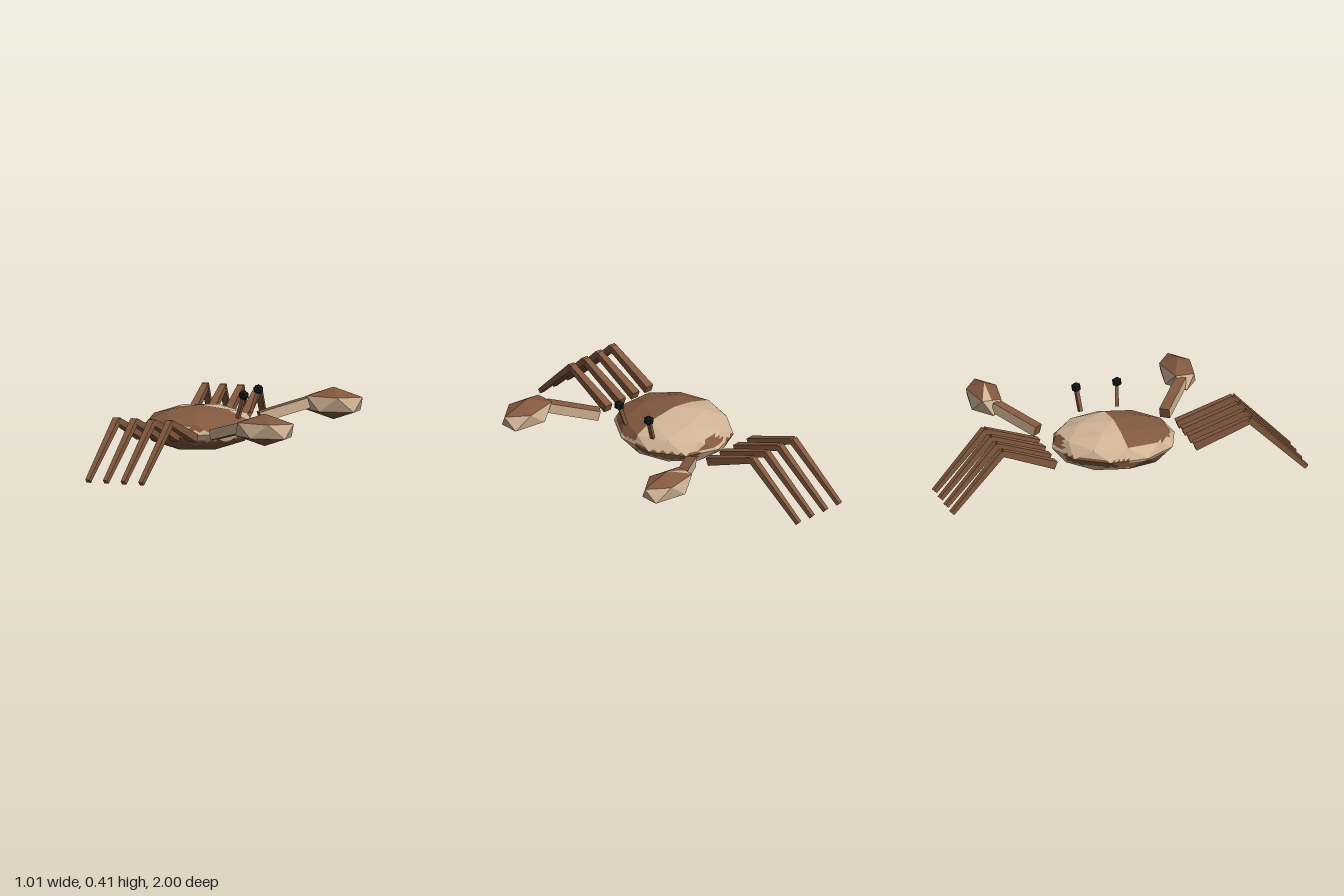
import * as THREE from 'three';

const V = (x, y, z) => new THREE.Vector3(x, y, z);

function material(name, color) {
  const m = new THREE.MeshStandardMaterial({ color });
  m.name = name;
  return m;
}

// Low-poly ball standing on a corner, with one upper-ring corner towards +x
function poleBall(detail) {
  return new THREE.IcosahedronGeometry(1, detail).rotateZ(-Math.atan2(2, 1 + Math.sqrt(5)));
}

// Triangles of a ball as corner triples, halved where they straddle z = 0
function triangles(geometry) {
  const p = geometry.attributes.position, out = [];
  for (let i = 0; i < p.count; i += 3) {
    const t = [0, 1, 2].map(k => new THREE.Vector3().fromBufferAttribute(p, i + k));
    const k = t.findIndex(v => Math.abs(v.z) < 1e-4);
    const a = t[k], b = t[(k + 1) % 3], c = t[(k + 2) % 3];
    if (k >= 0 && b.z * c.z < -1e-6) {
      const m = b.clone().lerp(c, 0.5);
      out.push([a, b, m], [a, m, c]);
    } else out.push(t);
  }
  return out;
}

// Divide flat facets into four, keeping them flat
function divide(list) {
  return list.flatMap(([a, b, c]) => {
    const ab = a.clone().lerp(b, 0.5), bc = b.clone().lerp(c, 0.5), ca = c.clone().lerp(a, 0.5);
    return [[a, ab, ca], [ab, b, bc], [ca, bc, c], [ab, bc, ca]];
  });
}

// Two-tone faceted ball: isLight(centroid) picks the colour of each face
function twoTone(name, list, isLight, dark, light) {
  const group = new THREE.Group();
  group.name = name;
  const sets = [[], []];
  for (const t of list) {
    const c = V(0, 0, 0).add(t[0]).add(t[1]).add(t[2]).divideScalar(3);
    sets[isLight(c) ? 1 : 0].push(...t);
  }
  sets.forEach((points, i) => {
    const g = new THREE.BufferGeometry().setFromPoints(points);
    g.computeVertexNormals();
    const mesh = new THREE.Mesh(g, i ? light : dark);
    mesh.name = name + (i ? 'LightFaces' : 'DarkFaces');
    group.add(mesh);
  });
  return group;
}

// Tapered square beam from a to b
function beam(name, a, b, w0, w1, mat) {
  const dir = b.clone().sub(a), len = dir.length();
  dir.normalize();
  const side = dir.clone().cross(V(0, 1, 0)).normalize();
  const g = new THREE.BoxGeometry(1, len, 1);
  const p = g.attributes.position;
  for (let i = 0; i < p.count; i++) {
    const w = p.getY(i) < 0 ? w0 : w1;
    p.setX(i, p.getX(i) * w);
    p.setZ(i, p.getZ(i) * w);
  }
  g.applyMatrix4(new THREE.Matrix4().makeBasis(side, dir, side.clone().cross(dir)));
  const mid = a.clone().lerp(b, 0.5);
  g.translate(mid.x, mid.y, mid.z);
  g.computeVertexNormals();
  const mesh = new THREE.Mesh(g, mat);
  mesh.name = name;
  return mesh;
}

export function createModel() {
  const model = new THREE.Group();
  model.name = 'crab';
  const brown = material('shellBrown', 0x83593f);
  const tan = material('shellTan', 0xd2b596);
  const black = material('eyeBlack', 0x17181b);

  // Shell: tan on one half, brown on the other, with swapped patches at the rim
  const shellIsTan = ({ x, y, z }) => {
    if (z > 0) {
      if (x < -0.65) return y > -0.1 && y < 0.48;
      if (x < 0.15) return y > -0.05 && y < 0.33;
      return y > -0.3 && y < 0.15;
    }
    const spot = z < -0.82 && y > 0.1 && y < 0.5 && Math.abs(x) < 0.2 * (0.6 - y) / 0.3;
    const rim = Math.abs(x) > 0.35 && y > -0.3 && y < 0.08;
    return !spot && !rim;
  };
  const shell = twoTone('shell', divide(divide(triangles(poleBall(1)))), shellIsTan, brown, tan);
  shell.scale.set(0.3, 0.12, 0.342);
  shell.position.set(-0.224, 0.182, 0);
  model.add(shell);

  for (const s of [1, -1]) {
    const sideName = s > 0 ? 'Near' : 'Far';

    // Four jointed legs
    for (let i = 0; i < 4; i++) {
      const x = -0.44 + i * 0.1;
      const leg = new THREE.Group();
      leg.name = 'leg' + sideName + (i + 1);
      leg.add(
        beam('upperLeg', V(x + 0.025, 0.178, s * 0.39), V(x, 0.298, s * 0.695), 0.045, 0.034, brown),
        beam('lowerLeg', V(x, 0.302, s * 0.69), V(x - 0.055, 0.009, s * 0.991), 0.036, 0.025, brown));
      model.add(leg);
    }

    // Arm with pale sides
    model.add(beam('arm' + sideName, V(-0.012, 0.198, s * 0.355), V(0.21, 0.268, s * 0.52),
      0.056, 0.056, [tan, tan, brown, brown, brown, brown]));

    // Claw: pale band between brown caps
    const claw = twoTone('claw' + sideName, triangles(poleBall(0)),
      c => Math.abs(c.y) < 0.5 || (c.y > 0 && c.x < -0.3 && c.z * s > 0.1 && s < 0), brown, tan);
    claw.scale.set(0.185, 0.087, 0.1);
    claw.position.set(0.34, 0.265, s * 0.54);
    model.add(claw);

    // Eye on a stalk
    model.add(beam('eyeStalk' + sideName, V(0.03, 0.255, s * 0.102), V(0.066, 0.37, s * 0.113), 0.02, 0.02, brown));
    const eye = new THREE.Mesh(poleBall(0), black);
    eye.name = 'eye' + sideName;
    eye.geometry.computeVertexNormals();
    eye.scale.setScalar(0.029);
    eye.position.set(0.069, 0.381, s * 0.114);
    model.add(eye);
  }
  return model;
}
